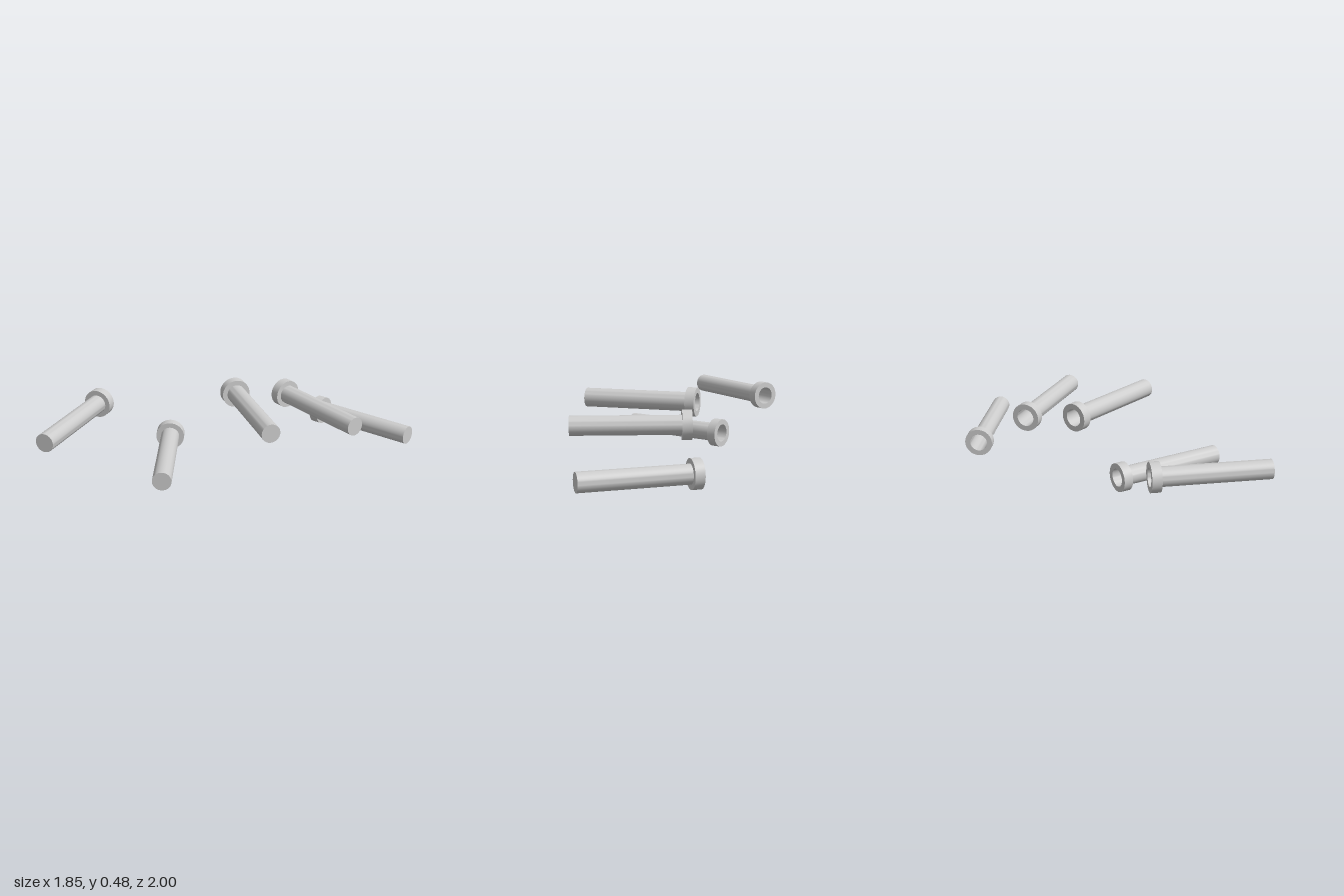
import * as THREE from 'three';
import { toCreasedNormals } from 'three/addons/utils/BufferGeometryUtils.js';

const LENGTH = 0.743;
const SHAFT_R = 0.061;
const BORE_R = 0.058;
const HEAD_R = 0.093;
const HEAD_T = 0.061;

// Hollow pin: open at the collar (y = 0), closed at the far end
function pinGeometry() {
  const profile = [
    [0, LENGTH - 0.005], [BORE_R, LENGTH - 0.005], [BORE_R, 0], [HEAD_R, 0],
    [HEAD_R, HEAD_T], [SHAFT_R, HEAD_T], [SHAFT_R, LENGTH], [0, LENGTH],
  ].map(([r, y]) => new THREE.Vector2(r, y));
  return toCreasedNormals(new THREE.LatheGeometry(profile, 40), Math.PI / 6);
}

export function createModel() {
  const group = new THREE.Group();
  group.name = 'scatteredPins';
  const steel = new THREE.MeshStandardMaterial({ color: 0xcccccc });
  steel.name = 'light steel grey';
  const geometry = pinGeometry();

  // Each pin: height, collar x and z, tip x and z
  const pins = [
    [0.314, -0.834, 0.256, -0.682, 0.986],
    [0.114, -0.406, 0.054, -0.006, 0.681],
    [0.392, -0.094, -0.239, 0.493, 0.218],
    [0.316, 0.087, -0.572, 0.788, -0.323],
    [0.094, 0.177, -0.908, 0.918, -0.849],
  ];
  const up = new THREE.Vector3(0, 1, 0);
  pins.forEach(([y, hx, hz, tx, tz], i) => {
    const pin = new THREE.Mesh(geometry, steel);
    pin.name = `collaredPin${i + 1}`;
    pin.position.set(hx, y, hz);
    pin.quaternion.setFromUnitVectors(up, new THREE.Vector3(tx - hx, 0, tz - hz).normalize());
    group.add(pin);
  });
  return group;
}
